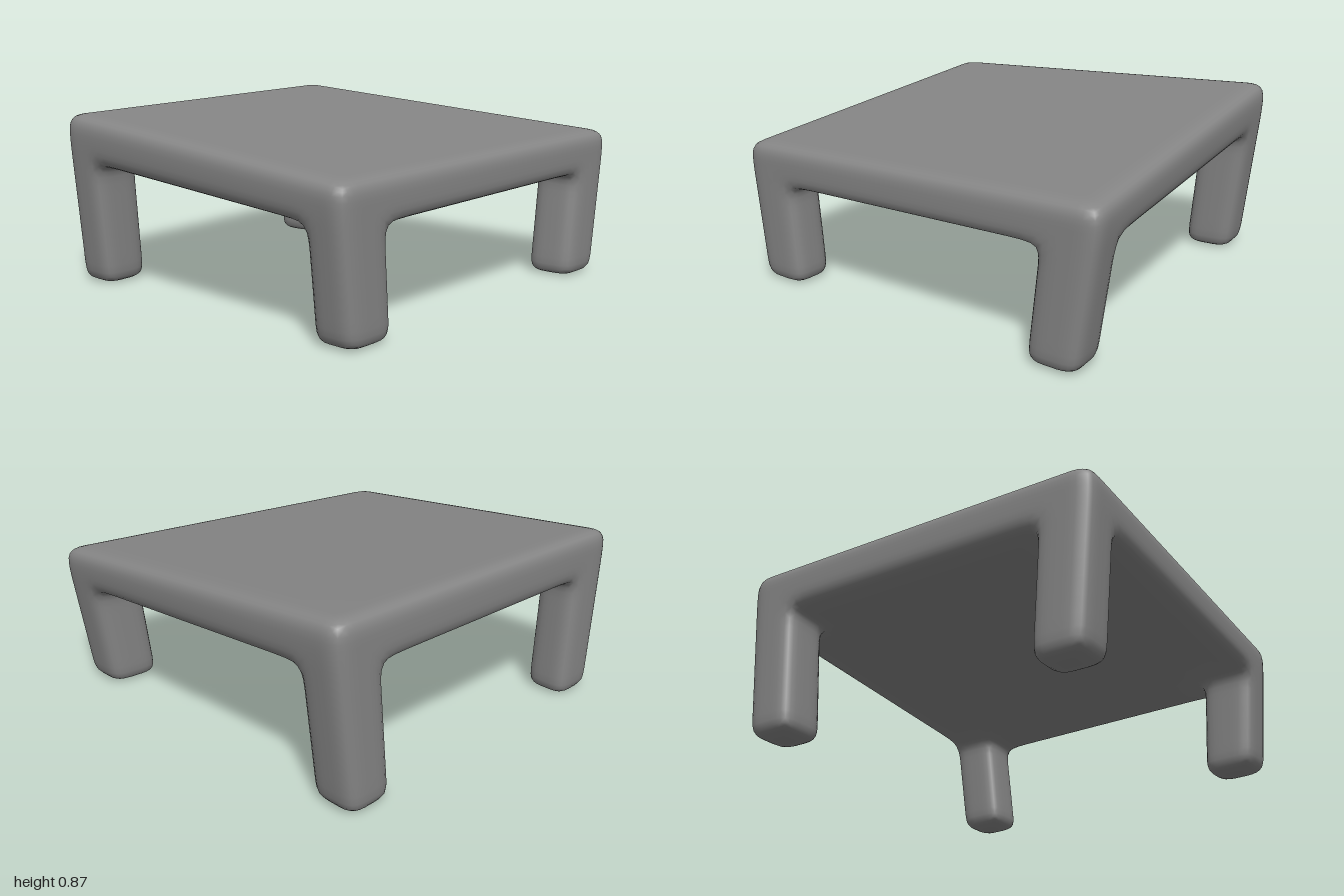
import * as THREE from 'three';

// Corners in order: back -x, back +x, front -x, front +x
const cornerX = [-0.98, 0.98, -0.873, 0.895];
const topZ = [-0.9, -1.008, 1, 1];
const footZ = [-0.815, -0.915, 0.935, 0.935];
const topY = [0.884, 0.722, 0.836, 0.678];
const underY = [0.642, 0.516, 0.605, 0.477];

// Grid lines across the width and depth: leg sides, leg middles and fillet lines
const U = [0, 0.064, 0.128, 0.185, 0.815, 0.876, 0.938, 1];
const W = [0, 0.07, 0.14, 0.195, 0.805, 0.86, 0.93, 1];
const CELLS = U.length - 1;
const UNDER = 3; // first slab layer
const LAYERS = 5;

const bilinear = (c, u, w) => (c[0] * (1 - u) + c[1] * u) * (1 - w) + (c[2] * (1 - u) + c[3] * u) * w;

// Position of a grid point in the skewed, tilted table
function gridPoint(i, j, k) {
  const u = U[i], w = W[k];
  const top = bilinear(topY, u, w), under = bilinear(underY, u, w);
  const middle = (top + under) / 2;
  const y = [0, 0.1, under - 0.1, under, middle, top][j];
  const z = THREE.MathUtils.lerp(bilinear(footZ, u, w), bilinear(topZ, u, w), Math.min(1, y / middle));
  return new THREE.Vector3(bilinear(cornerX, u, w), y, z);
}

// Solid cells: the whole slab, and four legs below it
const inside = (n, count) => n >= 0 && n < count;
const atEnd = (n) => n < 2 || n > CELLS - 3;
const solid = ([i, j, k]) =>
  inside(i, CELLS) && inside(k, CELLS) && inside(j, LAYERS) && (j >= UNDER || (atEnd(i) && atEnd(k)));

// Outer skin of the solid cells as quads
function buildCage() {
  const points = [], quads = [], ids = new Map();
  const idOf = (p) => {
    const key = p.join();
    if (!ids.has(key)) {
      ids.set(key, points.length);
      points.push(gridPoint(...p));
    }
    return ids.get(key);
  };
  for (let i = 0; i < CELLS; i++) for (let j = 0; j < LAYERS; j++) for (let k = 0; k < CELLS; k++) {
    const cell = [i, j, k];
    if (!solid(cell)) continue;
    for (let a = 0; a < 3; a++) for (const side of [0, 1]) {
      const next = [...cell];
      next[a] += side ? 1 : -1;
      if (solid(next)) continue;
      const quad = [[0, 0], [1, 0], [1, 1], [0, 1]].map(([s, t]) => {
        const p = [...cell];
        p[a] += side;
        p[(a + 1) % 3] += s;
        p[(a + 2) % 3] += t;
        return idOf(p);
      });
      quads.push(side ? quad : quad.reverse());
    }
  }
  return { points, quads };
}

// One step of Catmull-Clark smoothing on a closed quad mesh
function subdivide({ points, quads }) {
  const n = points.length;
  const out = points.map(() => null);
  const edges = new Map();
  const sum = () => points.map(() => new THREE.Vector3());
  const faceSum = sum(), midSum = sum(), valence = new Array(n).fill(0);
  const faceIds = quads.map((q) => {
    const centre = new THREE.Vector3();
    q.forEach((v) => centre.addScaledVector(points[v], 0.25));
    q.forEach((v, s) => {
      faceSum[v].add(centre);
      valence[v]++;
      const b = q[(s + 1) % 4];
      const key = Math.min(v, b) * n + Math.max(v, b);
      if (!edges.has(key)) edges.set(key, { a: v, b, faces: new THREE.Vector3() });
      edges.get(key).faces.add(centre);
    });
    return out.push(centre) - 1;
  });
  for (const e of edges.values()) {
    const ends = points[e.a].clone().add(points[e.b]);
    midSum[e.a].addScaledVector(ends, 0.5);
    midSum[e.b].addScaledVector(ends, 0.5);
    e.id = out.push(ends.add(e.faces).multiplyScalar(0.25)) - 1;
  }
  points.forEach((p, v) => {
    const m = valence[v];
    out[v] = p.clone().multiplyScalar((m - 3) / m)
      .addScaledVector(faceSum[v], 1 / (m * m))
      .addScaledVector(midSum[v], 2 / (m * m));
  });
  const edgeId = (a, b) => edges.get(Math.min(a, b) * n + Math.max(a, b)).id;
  const next = [];
  quads.forEach((q, f) => q.forEach((v, s) => {
    next.push([v, edgeId(v, q[(s + 1) % 4]), faceIds[f], edgeId(q[(s + 3) % 4], v)]);
  }));
  return { points: out, quads: next };
}

export function createModel() {
  const group = new THREE.Group();
  group.name = 'table';

  // Slab and legs form one continuous softened skin
  let skin = buildCage();
  for (let step = 0; step < 2; step++) skin = subdivide(skin);
  const geometry = new THREE.BufferGeometry().setFromPoints(skin.points);
  geometry.setIndex(skin.quads.flatMap(([a, b, c, d]) => [a, b, c, a, c, d]));
  geometry.computeVertexNormals();

  const body = new THREE.Mesh(geometry, new THREE.MeshStandardMaterial({ color: 0x858585 }));
  body.name = 'tabletopAndLegs';
  group.add(body);
  return group;
}
